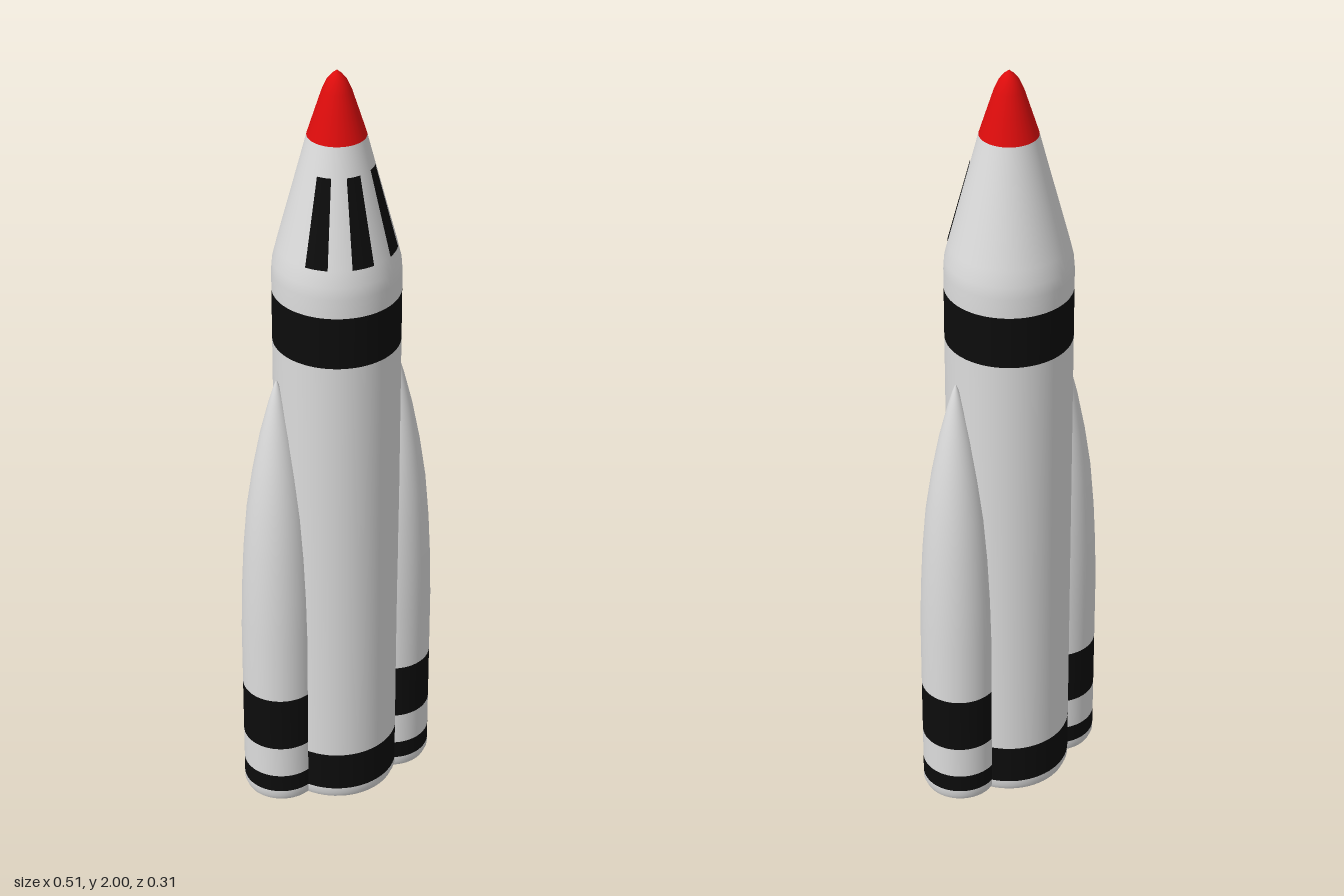
import * as THREE from 'three';

const paint = (name, color) => {
  const m = new THREE.MeshStandardMaterial({ color });
  m.name = name;
  return m;
};

export function createModel() {
  const white = paint('hull white', 0xdcdcdc);
  const black = paint('band black', 0x0c0c0c);
  const red = paint('nose red', 0xdd0c0c);

  // Surface of revolution from [radius, y] pairs listed bottom to top
  function turned(parent, name, material, points, phiStart = 0, phiLength = Math.PI * 2) {
    const segments = Math.max(6, Math.round(64 * phiLength / (Math.PI * 2)));
    const profile = points.map(([r, y]) => new THREE.Vector2(r, y));
    const mesh = new THREE.Mesh(new THREE.LatheGeometry(profile, segments, phiStart, phiLength), material);
    mesh.name = name;
    parent.add(mesh);
  }

  const model = new THREE.Group();
  model.name = 'rocket';

  // Central body, stacked in coloured sections
  const R = 0.155;
  const body = new THREE.Group();
  body.name = 'coreBody';
  model.add(body);
  turned(body, 'bodyBase', white, [[0, 0], [R - 0.006, 0]]);
  turned(body, 'bodyBaseRim', white, [[R - 0.006, 0], [R, 0.014], [R, 0.03]]);
  turned(body, 'lowerBand', black, [[R, 0.03], [R, 0.14]]);
  turned(body, 'bodyTube', white, [[R, 0.14], [R, 1.305]]);
  turned(body, 'upperBand', black, [[R, 1.305], [R, 1.44]]);
  turned(body, 'noseCone', white, [
    [R, 1.44], [R, 1.49], [0.1525, 1.52], [0.143, 1.56], [0.088, 1.77], [0.07, 1.84],
  ]);
  turned(body, 'noseTip', red, [
    [0.07, 1.84], [0.051, 1.9], [0.035, 1.95], [0.024, 1.975], [0.012, 1.99], [0, 2],
  ]);

  // Three tapered windows wrapped round the front of the nose
  const width = THREE.MathUtils.degToRad(22);
  [-45, 0, 45].forEach((angle) => {
    const start = THREE.MathUtils.degToRad(angle) - width / 2;
    turned(body, 'window', black, [[0.1445, 1.56], [0.0895, 1.77]], start, width);
  });

  // A slim pointed booster on each side
  const r = 0.097;
  [-1, 1].forEach((side) => {
    const booster = new THREE.Group();
    booster.name = side > 0 ? 'leftBooster' : 'rightBooster';
    booster.position.x = side * 0.16;
    model.add(booster);
    turned(booster, 'boosterBase', white, [[0, 0], [r - 0.006, 0]]);
    turned(booster, 'boosterBaseRim', white, [[r - 0.006, 0], [r, 0.014], [r, 0.03]]);
    turned(booster, 'boosterLowerBand', black, [[r, 0.03], [r, 0.08]]);
    turned(booster, 'boosterSkirt', white, [[r, 0.08], [r, 0.17]]);
    turned(booster, 'boosterUpperBand', black, [[r, 0.17], [r, 0.325]]);
    turned(booster, 'boosterShell', white, [
      [r, 0.325], [r, 0.5], [0.094, 0.62], [0.088, 0.74], [0.078, 0.86],
      [0.062, 0.97], [0.042, 1.075], [0.021, 1.16], [0.008, 1.205], [0, 1.225],
    ]);
  });

  return model;
}
